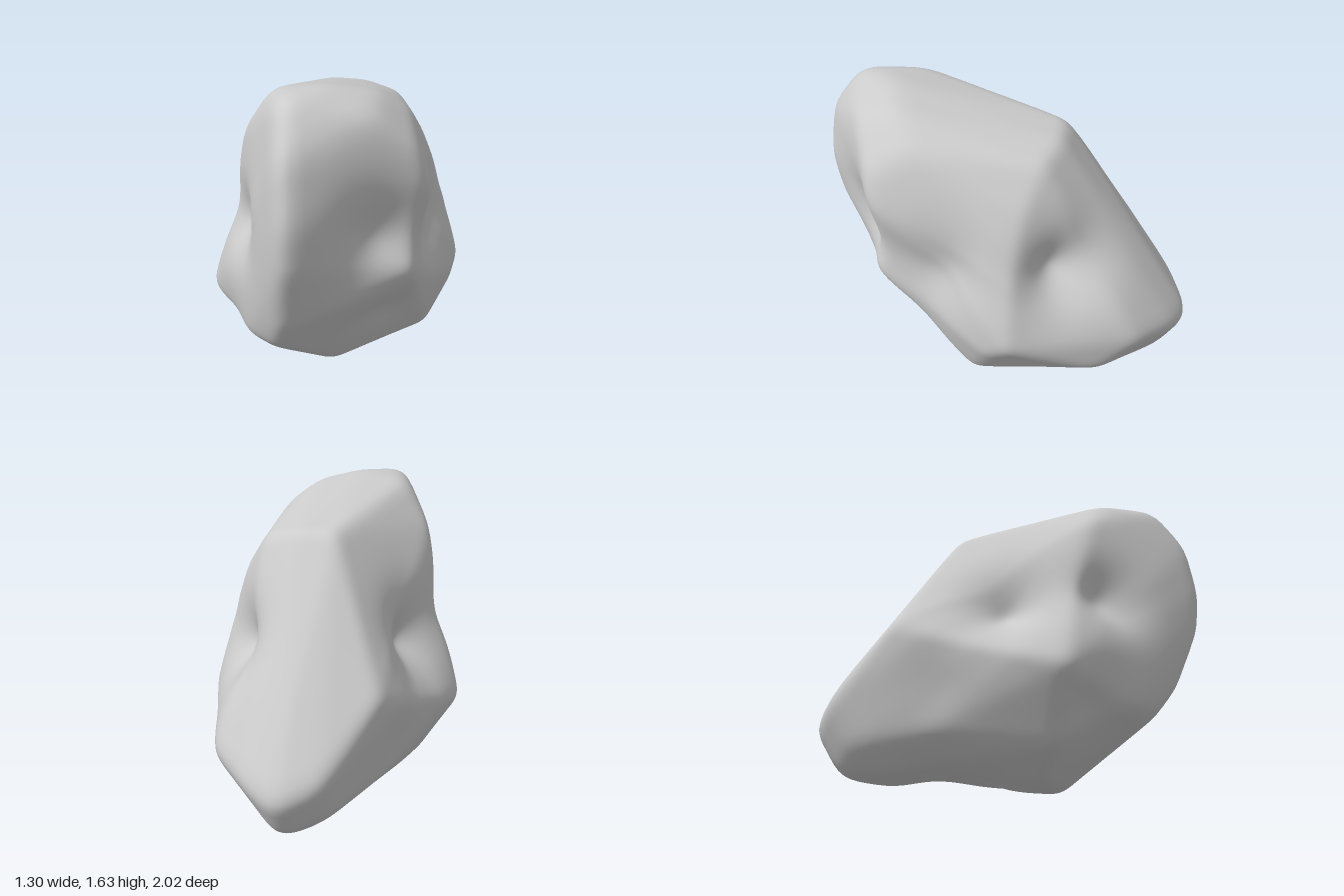
import * as THREE from 'three';
import { mergeVertices } from 'three/addons/utils/BufferGeometryUtils.js';
import { ConvexGeometry } from 'three/addons/geometries/ConvexGeometry.js';

const V = (x, y, z) => new THREE.Vector3(x, y, z);
const CENTRE = V(0, 0.75, 0);

// Corners of the faceted boulder
const CORNERS = [
  // crown and upper shoulders
  V(-0.19, 1.61, 0.83), V(0, 1.635, 0.6), V(0.23, 1.585, 0.5), V(-0.08, 1.465, -0.29), V(0.12, 1.455, -0.29),
  V(0.3, 1.41, -0.23), V(0.38, 1.47, 0.4), V(-0.27, 1.59, 0.49), V(-0.42, 1.38, 0.41), V(-0.475, 1.15, 0.31),
  V(0.44, 1.22, -0.16), V(0.48, 1.21, 0.63), V(0.43, 1.34, 0.63), V(0.22, 1.52, 0.71),
  // front prow
  V(-0.17, 1.39, 1), V(-0.16, 1.1, 1.05), V(-0.17, 0.88, 1.02), V(0.44, 0.73, 0.66), V(-0.2, 0.5, 0.85),
  // widest band
  V(0.665, 0.5, -0.12), V(0.6, 0.85, -0.13), V(0.54, 1.02, -0.14), V(0.63, 0.42, 0),
  V(-0.67, 0.44, 0.23), V(-0.63, 0.5, 0.02), V(-0.57, 0.57, -0.2), V(-0.48, 0.67, -0.45),
  // tail
  V(0, 0.33, -1.045), V(0.17, 0.38, -0.97), V(0.4, 0.44, -0.78), V(-0.2, 0.42, -0.94), V(0, 0.61, -0.87),
  V(-0.4, 0.75, -0.62), V(0, 0.92, -0.65), V(0.02, 0.08, -0.9), V(0.46, 0.25, -0.57), V(-0.2, 0.18, -0.8),
  // underside
  V(-0.24, 0.34, 0.73), V(-0.43, 0.32, 0.56), V(-0.2, -0.01, 0.15), V(0, 0, 0.26), V(0.49, 0.17, 0.1),
  V(-0.46, 0.11, 0.18), V(-0.2, 0.05, -0.3), V(-0.1, 0.04, -0.67), V(0.2, 0.07, -0.67), V(-0.37, 0.2, -0.4),
];

// Worn hollows: centre, depth, radius
const HOLLOWS = [
  [V(0.25, 0.97, 0.77), 0.135, 0.26],
  [V(0.51, 0.86, 0.31), 0.12, 0.27],
  [V(0.46, 0.87, -0.4), 0.16, 0.23],
  [V(-0.39, 0.91, 0.49), 0.13, 0.19],
  [V(-0.45, 0.85, -0.04), 0.18, 0.25],
  [V(0.28, 0.4, 0.43), 0.05, 0.22],
  [V(-0.49, 0.28, 0.4), 0.035, 0.16],
  [V(0.08, 0.08, -0.35), 0.12, 0.24],
  [V(-0.44, 0.4, -0.4), 0.025, 0.2],
];

// Facet planes of the corner hull, relative to the centre
function facetPlanes() {
  const pos = new ConvexGeometry(CORNERS.map(p => p.clone().sub(CENTRE))).attributes.position;
  const planes = [];
  for (let i = 0; i < pos.count; i += 3) {
    const [a, b, c] = [0, 1, 2].map(k => V(0, 0, 0).fromBufferAttribute(pos, i + k));
    const plane = new THREE.Plane().setFromCoplanarPoints(a, b, c);
    if (plane.constant < 0) planes.push(plane);
  }
  return planes;
}

// Distance from the centre to the hull along a direction
function reach(dir, planes) {
  let inv = 0;
  for (const p of planes) inv = Math.max(inv, p.normal.dot(dir) / -p.constant);
  return 1 / inv;
}

export function createModel() {
  const planes = facetPlanes();
  let geo = new THREE.IcosahedronGeometry(1, 50);
  geo.deleteAttribute('normal');
  geo.deleteAttribute('uv');
  geo = mergeVertices(geo, 1e-5);
  const pos = geo.attributes.position;
  const dir = V(0, 0, 0), probe = V(0, 0, 0), u = V(0, 0, 0), w = V(0, 0, 0), point = V(0, 0, 0);

  for (let i = 0; i < pos.count; i++) {
    dir.fromBufferAttribute(pos, i).normalize();
    u.set(-dir.z, 0.3, dir.x).cross(dir).normalize();
    w.crossVectors(dir, u);

    // Average nearby reaches to round off the facet edges
    let r = reach(dir, planes), n = 1;
    for (const spread of [0.035, 0.075]) {
      for (let k = 0; k < 8; k++, n++) {
        const a = (k * Math.PI) / 4;
        probe.copy(dir).addScaledVector(u, spread * Math.cos(a)).addScaledVector(w, spread * Math.sin(a)).normalize();
        r += reach(probe, planes);
      }
    }
    r /= n;

    // Press in the hollows
    point.copy(dir).multiplyScalar(r).add(CENTRE);
    let push = 0;
    for (const [c, depth, size] of HOLLOWS) push += depth * Math.exp(-point.distanceToSquared(c) / (size * size));
    point.addScaledVector(dir, -push);
    pos.setXYZ(i, point.x, point.y, point.z);
  }

  // Rest on the ground
  geo.computeBoundingBox();
  geo.translate(0, -geo.boundingBox.min.y, 0);
  geo.computeVertexNormals();

  const rock = new THREE.Mesh(geo, new THREE.MeshStandardMaterial({ color: 0xcccccc }));
  rock.name = 'boulder';
  const group = new THREE.Group();
  group.name = 'rock';
  group.add(rock);
  return group;
}
